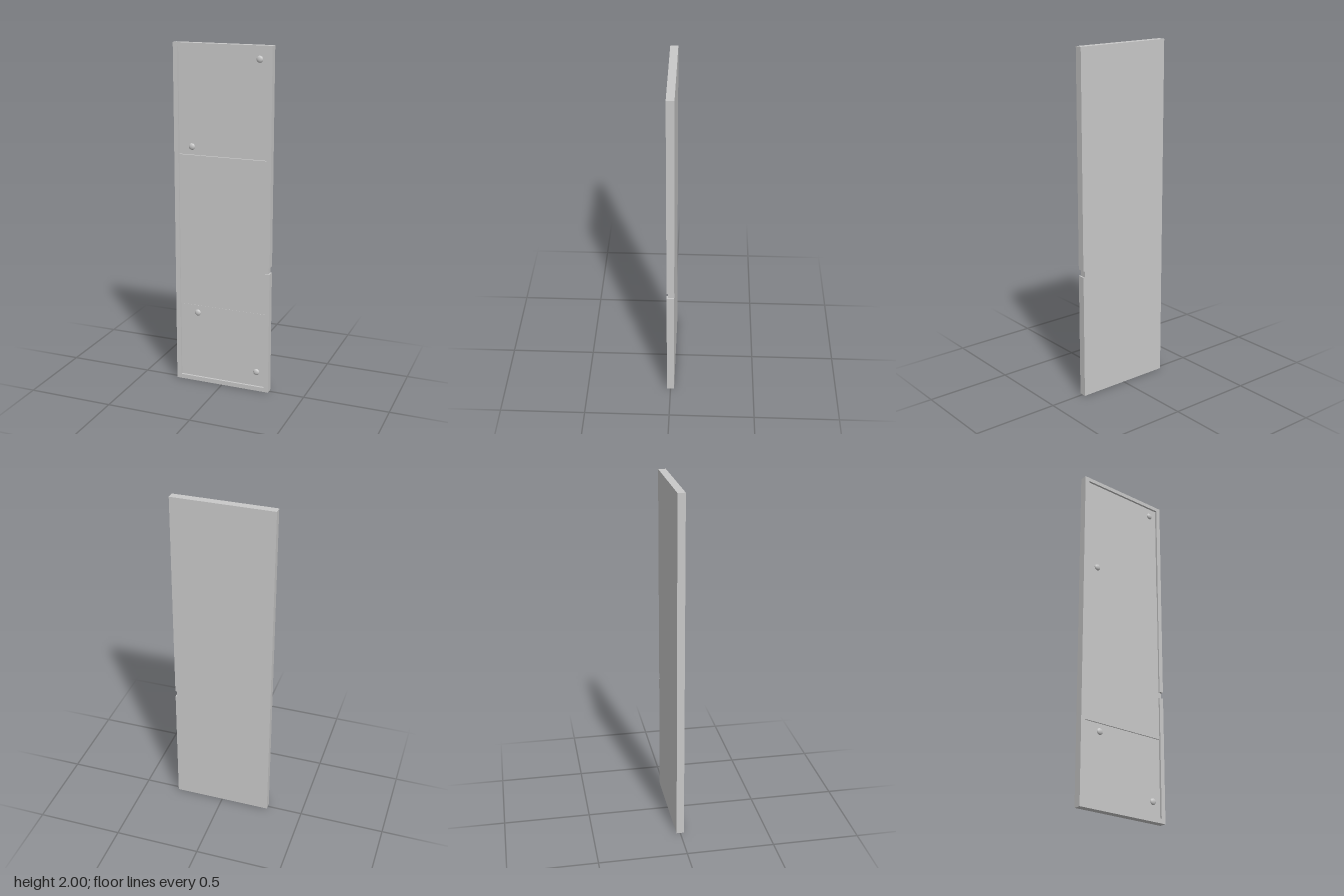
import * as THREE from 'three';

export function createModel() {
  const group = new THREE.Group();
  group.name = 'recessedPanel';
  const grey = new THREE.MeshStandardMaterial({ color: 0xc8c8c8 });
  grey.name = 'plain grey';

  const W = 0.289, H = 2, BACK = -0.0215, FRONT = 0.0215;
  const IN_L = -0.262, IN_R = 0.263, IN_B = 0.026, IN_T = 1.977;
  const BASE = -0.002, FLOOR = 0.009, MID = 0.0125; // groove, end bay and middle bay levels
  const LOW = 0.478, HIGH = 1.376, GAP = 0.001; // seams between the bays
  const N0 = 0.727, N1 = 0.764, NX = 0.28; // finger notch in the edge

  const add = (name, geometry) => {
    const mesh = new THREE.Mesh(geometry, grey);
    mesh.name = name;
    group.add(mesh);
    return mesh;
  };
  const slab = (name, points, z0, z1) => {
    const shape = new THREE.Shape(points.map(([x, y]) => new THREE.Vector2(x, y)));
    const g = new THREE.ExtrudeGeometry(shape, { depth: z1 - z0, bevelEnabled: false });
    return add(name, g.translate(0, 0, z0));
  };

  // Back plate with the notch cut right through its edge
  slab('backPlate', [
    [-W, 0], [W, 0], [W, N0], [NX, N0], [NX, N1], [W, N1], [W, H], [-W, H],
  ], BACK, BASE);

  // Raised rim, open at the notch
  slab('rim', [
    [W, N1], [W, H], [-W, H], [-W, 0], [W, 0], [W, N0], [IN_R, N0],
    [IN_R, IN_B], [IN_L, IN_B], [IN_L, IN_T], [IN_R, IN_T], [IN_R, N1],
  ], BASE, FRONT);

  // Slightly raised middle bay, running out through the notch
  slab('middleBay', [
    [IN_L, LOW + GAP], [IN_R, LOW + GAP], [IN_R, N0], [NX, N0], [NX, N1],
    [IN_R, N1], [IN_R, HIGH - GAP], [IN_L, HIGH - GAP],
  ], BASE, MID);

  // End bays, set off by fine seams
  for (const [name, y0, y1] of [['lowerBay', IN_B, LOW - GAP], ['upperBay', HIGH + GAP, IN_T]]) {
    slab(name, [[IN_L, y0], [IN_R, y0], [IN_R, y1], [IN_L, y1]], BASE, FLOOR);
  }

  // Low domed studs in the end bays
  const dome = new THREE.SphereGeometry(0.019, 24, 10, 0, Math.PI * 2, 0, Math.PI / 2);
  dome.rotateX(Math.PI / 2).scale(1, 1, 0.55);
  for (const [x, y] of [[0.214, 1.926], [-0.185, 1.423], [-0.156, 0.432], [0.212, 0.114]]) {
    add('stud', dome).position.set(x, y, FLOOR);
  }
  return group;
}
